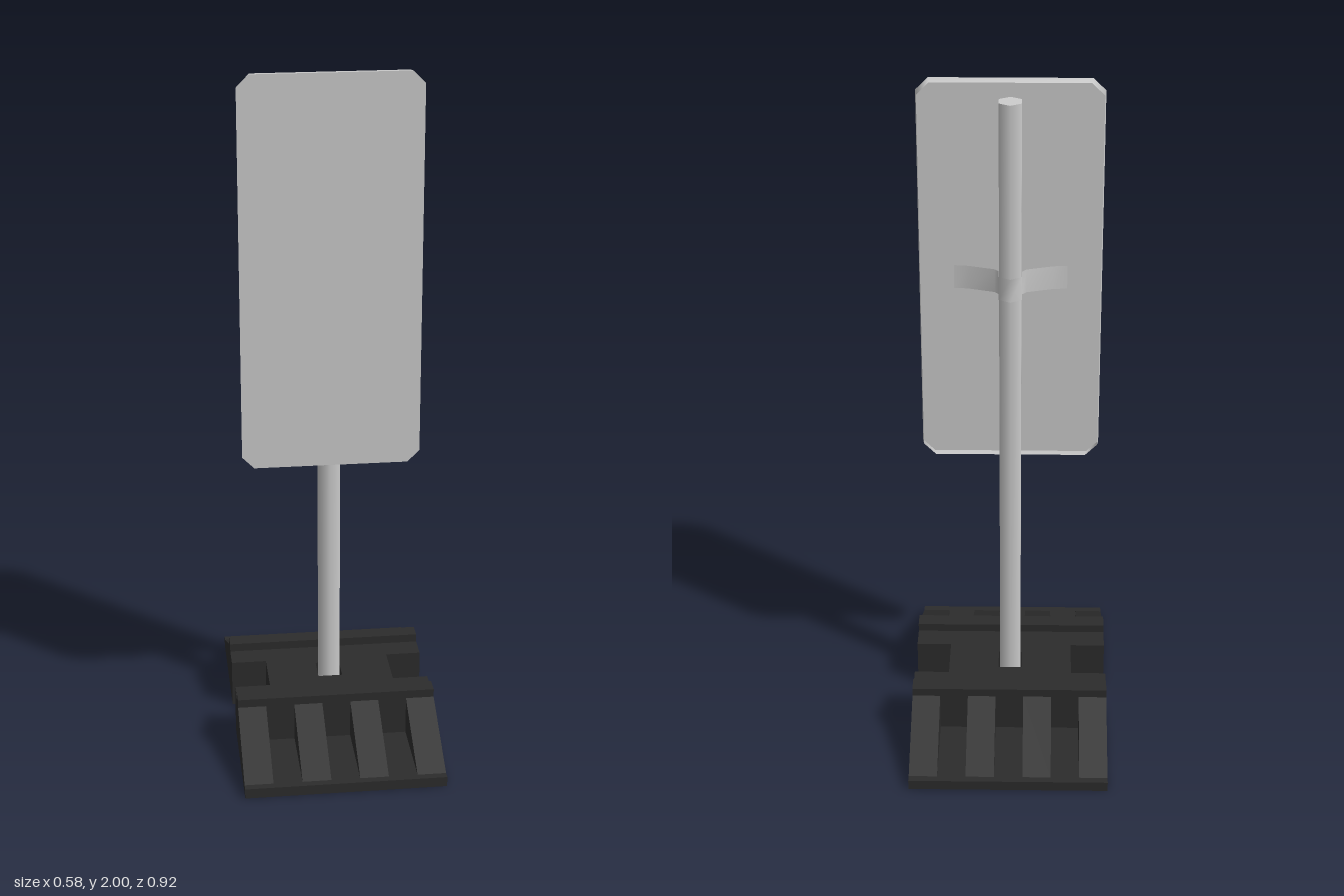
import * as THREE from 'three';

const metal = new THREE.MeshStandardMaterial({ name: 'light grey metal', color: 0xcccccc, side: THREE.DoubleSide });
const rubber = new THREE.MeshStandardMaterial({ name: 'black rubber', color: 0x2c2c2c, side: THREE.DoubleSide });

function mesh(name, geometry, material) {
  const m = new THREE.Mesh(geometry, material);
  m.name = name;
  return m;
}

// Flat-shaded surface from a list of quads, each with four corners
function quadGeometry(quads) {
  const pos = [];
  for (const [a, b, c, d] of quads) pos.push(...a, ...b, ...c, ...a, ...c, ...d);
  const g = new THREE.BufferGeometry();
  g.setAttribute('position', new THREE.Float32BufferAttribute(pos, 3));
  g.computeVertexNormals();
  return g;
}

// Smooth strip between two matching rows of points
function bandGeometry(rowA, rowB, closed) {
  const n = rowA.length, index = [];
  for (let i = 0; i < (closed ? n : n - 1); i++) {
    const j = (i + 1) % n;
    index.push(i, j, n + j, i, n + j, n + i);
  }
  const g = new THREE.BufferGeometry();
  g.setAttribute('position', new THREE.Float32BufferAttribute([...rowA, ...rowB].flat(), 3));
  g.setIndex(index);
  g.computeVertexNormals();
  return g;
}

const W = 0.292, DECK = 0.145, RIDGE = 0.17, LIP = 0.03;
const Z0 = 0.074, Z1 = 0.147, Z2 = 0.197, Z3 = 0.436, Z4 = 0.458;
const WAIST = 0.187;

// One ramp-shaped end of the base: an open-bottomed shell with wedge ribs
function rampGeometry() {
  const quads = [];
  // surface across x from profile point [z, y] to the next
  const across = (x0, x1, p, q) => quads.push(
    [[x0, p[1], p[0]], [x0, q[1], q[0]], [x1, q[1], q[0]], [x1, p[1], p[0]]]);
  // deck, ridge and lip
  const deck = [[Z0, DECK], [Z1, DECK], [Z1, RIDGE], [Z2, RIDGE], [Z2, DECK]];
  for (let i = 0; i < 4; i++) across(-W, W, deck[i], deck[i + 1]);
  across(-W, W, [Z3, LIP], [Z4, LIP]);
  across(-W, W, [Z4, LIP], [Z4, 0]);
  // ribs alternating with pockets
  const step = 2 * W / 7;
  for (let i = 0; i < 7; i++) {
    const x0 = -W + i * step, x1 = x0 + step;
    if (i % 2 === 0) {
      across(x0, x1, [Z2, DECK], [Z3, LIP]);
    } else {
      across(x0, x1, [Z2, DECK], [Z2, LIP]);
      across(x0, x1, [Z2, LIP], [Z3, LIP]);
      for (const x of [x0, x1])
        quads.push([[x, LIP, Z2], [x, DECK, Z2], [x, LIP, Z3], [x, LIP, Z3]]);
    }
  }
  // end walls and the inner walls beside the waist
  for (const s of [-1, 1]) {
    const x = s * W;
    const side = (za, zb, ya, yb, base) => {
      const q = [[x, base, za], [x, base, zb], [x, yb, zb], [x, ya, za]];
      quads.push(s < 0 ? q : q.reverse());
    };
    side(Z0, Z2, DECK, DECK, 0);
    side(Z1, Z2, RIDGE, RIDGE, DECK);
    side(Z2, Z3, DECK, LIP, 0);
    side(Z3, Z4, LIP, LIP, 0);
    across(Math.min(s * WAIST, x), Math.max(s * WAIST, x), [Z0, 0], [Z0, DECK]);
  }
  return quadGeometry(quads);
}

// Middle of the base with a square socket for the post
function waistGeometry() {
  const quads = [];
  const h = 0.036, za = -0.046, zb = 0.036;
  const flat = (x0, x1, z0, z1) => quads.push(
    [[x0, DECK, z0], [x0, DECK, z1], [x1, DECK, z1], [x1, DECK, z0]]);
  flat(-WAIST, -h, -Z0, Z0);
  flat(h, WAIST, -Z0, Z0);
  flat(-h, h, -Z0, za);
  flat(-h, h, zb, Z0);
  const wall = (x0, z0, x1, z1, y) => quads.push(
    [[x0, y, z0], [x1, y, z1], [x1, DECK, z1], [x0, DECK, z0]]);
  wall(WAIST, Z0, WAIST, -Z0, 0);
  wall(-WAIST, -Z0, -WAIST, Z0, 0);
  const hole = [[-h, za], [h, za], [h, zb], [-h, zb]];
  hole.forEach(([x, z], i) => {
    const [x1, z1] = hole[(i + 1) % 4];
    wall(x, z, x1, z1, 0.02);
  });
  return quadGeometry(quads);
}

export function createModel() {
  const model = new THREE.Group();
  model.name = 'signOnBase';

  // Base
  const base = new THREE.Group();
  base.name = 'base';
  const front = mesh('frontRamp', rampGeometry(), rubber);
  const back = mesh('backRamp', front.geometry, rubber);
  back.rotation.y = Math.PI;
  base.add(front, back, mesh('waist', waistGeometry(), rubber));
  model.add(base);

  // Post: six smooth-shaded sides
  const postZ = -0.004, postR = 0.036, postTop = 1.955, postBottom = 0.08;
  const post = mesh('post', new THREE.CylinderGeometry(postR, postR, postTop - postBottom, 6), metal);
  post.position.set(0, (postTop + postBottom) / 2, postZ);
  model.add(post);

  // Sign panel: a shallow tray open at the back, with cut corners
  const outline = (w, y0, y1, c) => [
    [-w + c, y0], [w - c, y0], [w, y0 + c], [w, y1 - c],
    [w - c, y1], [-w + c, y1], [-w, y1 - c], [-w, y0 + c]];
  const outer = outline(0.258, 0.852, 2, 0.035);
  const inner = outline(0.254, 0.856, 1.996, 0.035);
  const face = new THREE.ShapeGeometry(new THREE.Shape(outer.map(p => new THREE.Vector2(...p))));
  face.translate(0, 0, 0.058);
  const sign = new THREE.Group();
  sign.name = 'sign';
  sign.add(
    mesh('signFace', face, metal),
    mesh('signRim', bandGeometry(inner.map(p => [...p, 0.027]), outer.map(p => [...p, 0.058]), true), metal));
  model.add(sign);

  // Clamp strap wrapped round the back of the post and fixed to the panel
  const r = postR + 0.002, sx = r * Math.sin(Math.PI / 3);
  const half = [[0.16, 0.056], [0.12, 0.052], [0.045, 0.029], [sx, postZ + r / 2], [sx, postZ - r / 2]];
  const path = [...half, [0, postZ - r], ...half.map(([x, z]) => [-x, z]).reverse()];
  const row = y => path.map(([x, z]) => [x, y, z]);
  model.add(mesh('clampStrap', bandGeometry(row(1.38), row(1.45), false), metal));

  return model;
}
